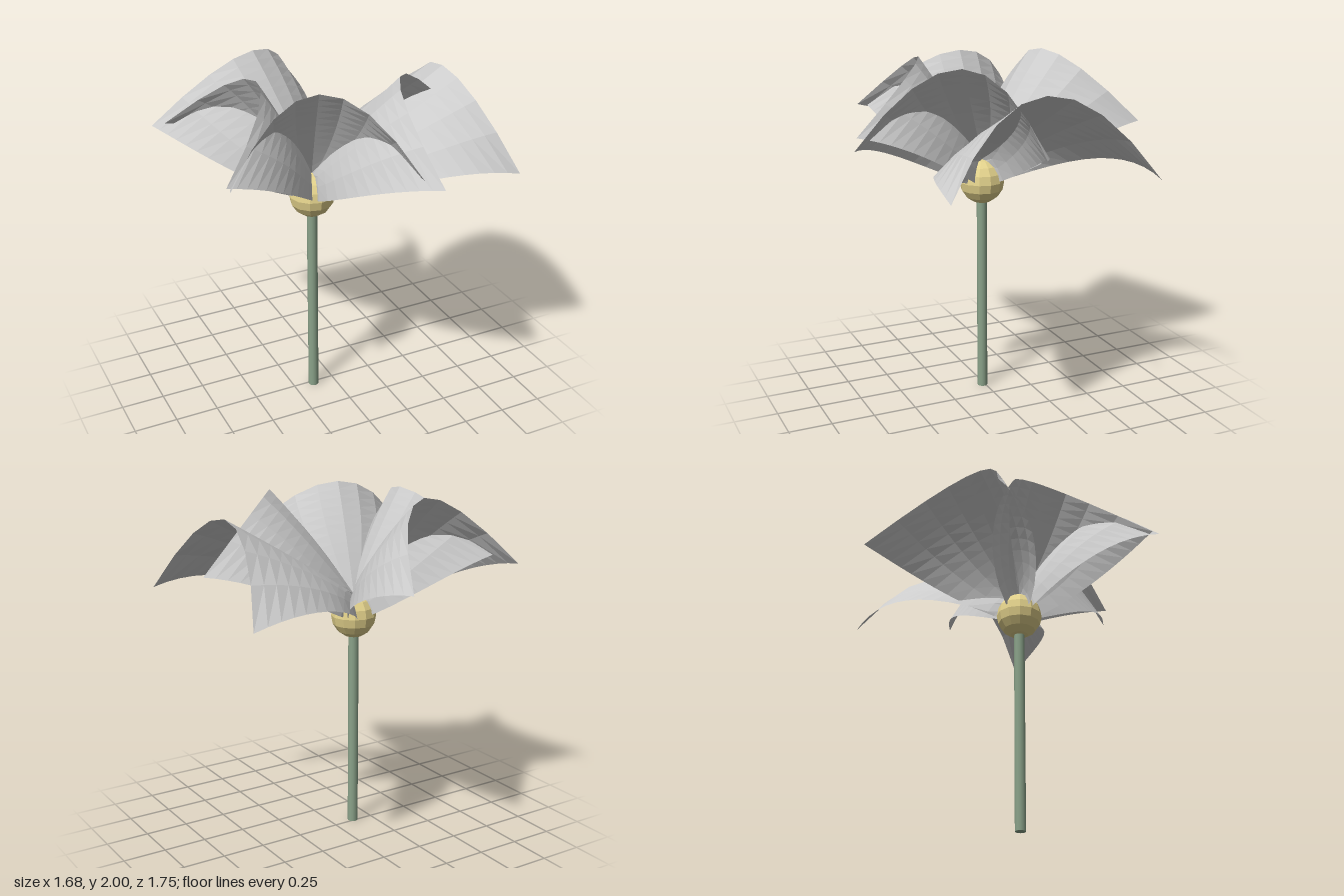
import * as THREE from 'three';

const CX = -0.13, CZ = 0.015, BASE_Y = 1.28;

// An awning-like petal, lofted between a rising midline and two lower, bowed side edges.
// tipR/tipY: end of the midline; edgeR/edgeY: its outer corners; half: half width; bow: lift of the edges.
function petalGeometry({ tipR, tipY, edgeR, edgeY, half, arch, bow }) {
  const rows = 12, cols = 8, midBase = 1.405, edgeBase = 1.25, pos = [], index = [];
  for (let i = 0; i <= rows; i++) {
    const t = i / rows, hump = t * (1 - t);
    const midY = midBase + (tipY - midBase) * t + arch * hump;
    const sideY = edgeBase + (edgeY - edgeBase) * t + bow * hump;
    const w = half * Math.sin(Math.PI / 2 * Math.pow(t, 0.7));
    for (let j = 0; j <= cols; j++) {
      const u = (j / cols) * 2 - 1, k = u * u;
      pos.push(tipR * t + (edgeR - tipR) * t * k, midY + (sideY - midY) * k, w * u);
    }
  }
  for (let i = 0; i < rows; i++) {
    for (let j = 0; j < cols; j++) {
      const a = i * (cols + 1) + j, b = a + 1, c = a + cols + 1, d = c + 1;
      // mirrored diagonals keep both halves alike
      if (j < cols / 2) index.push(a, b, c, b, d, c);
      else index.push(a, b, d, a, d, c);
    }
  }
  const g = new THREE.BufferGeometry();
  g.setAttribute('position', new THREE.Float32BufferAttribute(pos, 3));
  g.setIndex(index);
  g.computeVertexNormals();
  return g;
}

export function createModel() {
  const model = new THREE.Group();
  model.name = 'flower';

  // Stem
  const stem = new THREE.Mesh(
    new THREE.CylinderGeometry(0.03, 0.03, BASE_Y, 12),
    new THREE.MeshStandardMaterial({ color: 0x8ba38a }));
  stem.name = 'stem';
  stem.position.set(CX, BASE_Y / 2, CZ);
  model.add(stem);

  // Round flower centre
  const centre = new THREE.Mesh(
    new THREE.SphereGeometry(0.13, 12, 8),
    new THREE.MeshStandardMaterial({ color: 0xe3d28c, flatShading: true }));
  centre.name = 'flowerCentre';
  centre.position.set(CX, BASE_Y, CZ);
  model.add(centre);

  // Petals, from the widest open to the most upright
  const open = { tipR: 0.81, tipY: 1.905, edgeR: 0.97, edgeY: 1.45, half: 0.588, arch: 0.03, bow: 0.48 };
  const middle = { tipR: 0.472, tipY: 1.995, edgeR: 0.772, edgeY: 1.6, half: 0.5, arch: 0.1, bow: 0.3 };
  const steep = { tipR: 0.35, tipY: 1.998, edgeR: 0.7, edgeY: 1.65, half: 0.478, arch: 0.1, bow: 0.28 };
  const upright = { tipR: 0.312, tipY: 1.99, edgeR: 0.672, edgeY: 1.65, half: 0.465, arch: 0.1, bow: 0.28 };
  const petalMaterial = new THREE.MeshStandardMaterial({
    color: 0xcccccc, flatShading: true, side: THREE.DoubleSide });
  const petals = [
    ['leftPetal', 0, open],
    ['frontLeftPetal', 36, middle],
    ['frontPetal', 108, steep],
    ['rightPetal', 180, upright],
    ['backPetal', 252, middle],
  ];
  for (const [name, degrees, shape] of petals) {
    const petal = new THREE.Mesh(petalGeometry(shape), petalMaterial);
    petal.name = name;
    petal.position.set(CX, 0, CZ);
    petal.rotation.y = -THREE.MathUtils.degToRad(degrees);
    model.add(petal);
  }
  return model;
}
